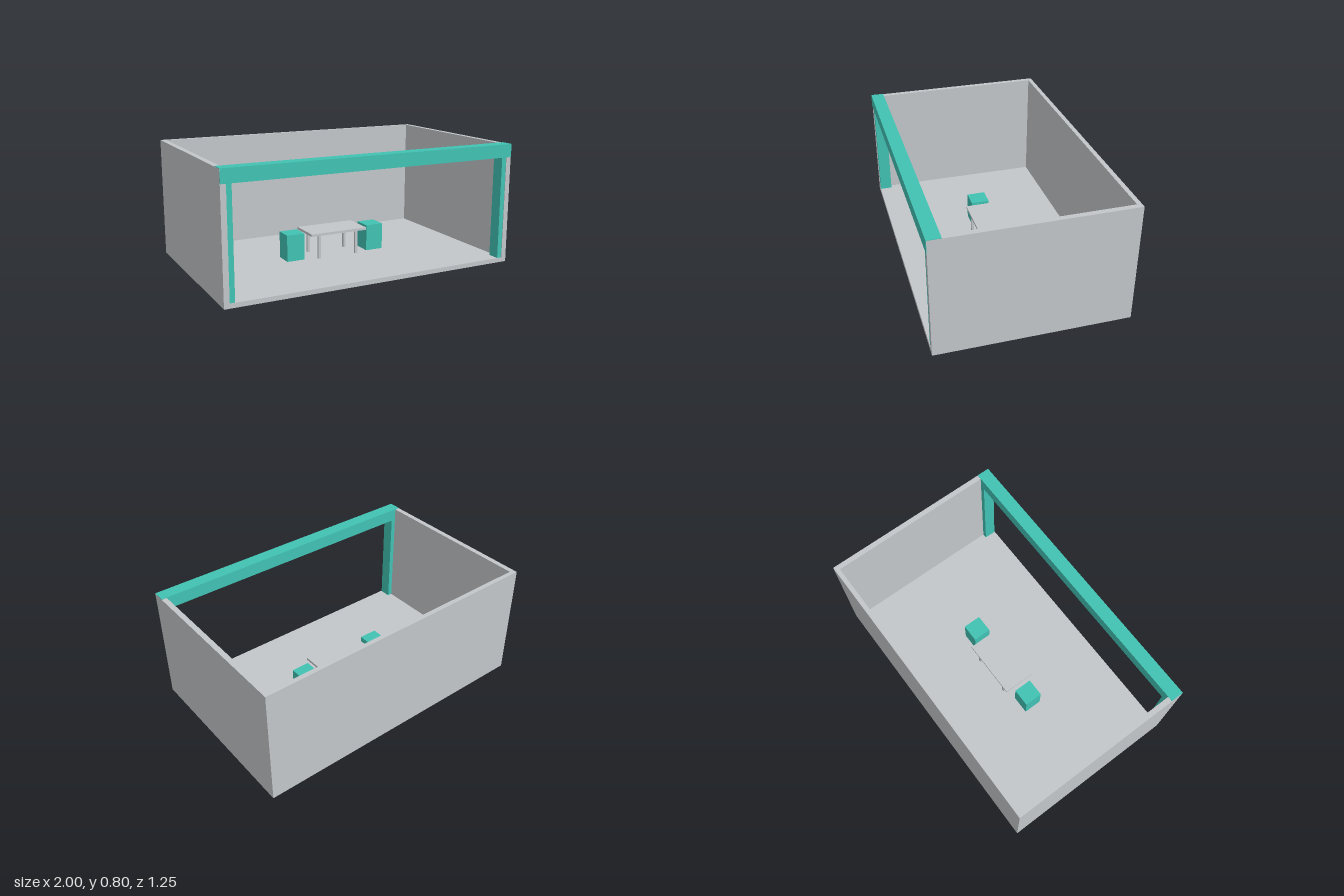
import * as THREE from 'three';

const grey = new THREE.MeshStandardMaterial({ color: 0xc3c6ca });
grey.name = 'pale grey';
const teal = new THREE.MeshStandardMaterial({ color: 0x41c2b3 });
teal.name = 'teal';

// Box given by its extents along each axis
function block(name, material, [x0, x1], [y0, y1], [z0, z1]) {
  const mesh = new THREE.Mesh(new THREE.BoxGeometry(x1 - x0, y1 - y0, z1 - z0), material);
  mesh.position.set((x0 + x1) / 2, (y0 + y1) / 2, (z0 + z1) / 2);
  mesh.name = name;
  return mesh;
}

export function createModel() {
  const model = new THREE.Group();
  model.name = 'openFrontRoom';
  const floorY = 0.03, wallTop = 0.8, depth = 0.625, wallIn = 0.965;

  // Floor and back wall
  model.add(block('floor', grey, [-wallIn, wallIn], [0, floorY], [-depth, depth]));
  model.add(block('backWall', grey, [-wallIn, wallIn], [floorY, wallTop], [-depth, -0.595]));

  // Side walls with the teal door posts against them
  for (const [side, s] of [['right', -1], ['left', 1]]) {
    const span = (a, b) => (s > 0 ? [a, b] : [-b, -a]);
    model.add(block(side + 'Wall', grey, span(wallIn, 1), [0, wallTop], [-depth, depth]));
    model.add(block(side + 'Post', teal, span(0.932, wallIn), [floorY, 0.716], [0.54, 0.622]));
  }

  // Beam across the open front
  model.add(block('frontBeam', teal, [-0.9995, 0.9995], [0.716, 0.803], [0.54, 0.628]));

  // Table
  const table = new THREE.Group();
  table.name = 'table';
  table.add(block('tableTop', grey, [-0.208, 0.206], [0.193, 0.21], [-0.118, 0.107]));
  for (const x of [-0.141, 0.139]) {
    for (const z of [-0.092, 0.081]) {
      table.add(block('tableLeg', grey, [x - 0.009, x + 0.009], [floorY, 0.193], [z - 0.009, z + 0.009]));
    }
  }
  model.add(table);

  // Block stools at both ends of the table
  for (const x of [-0.302, 0.298]) {
    model.add(block('stool', teal, [x - 0.063, x + 0.063], [floorY, 0.21], [-0.066, 0.06]));
  }
  return model;
}
